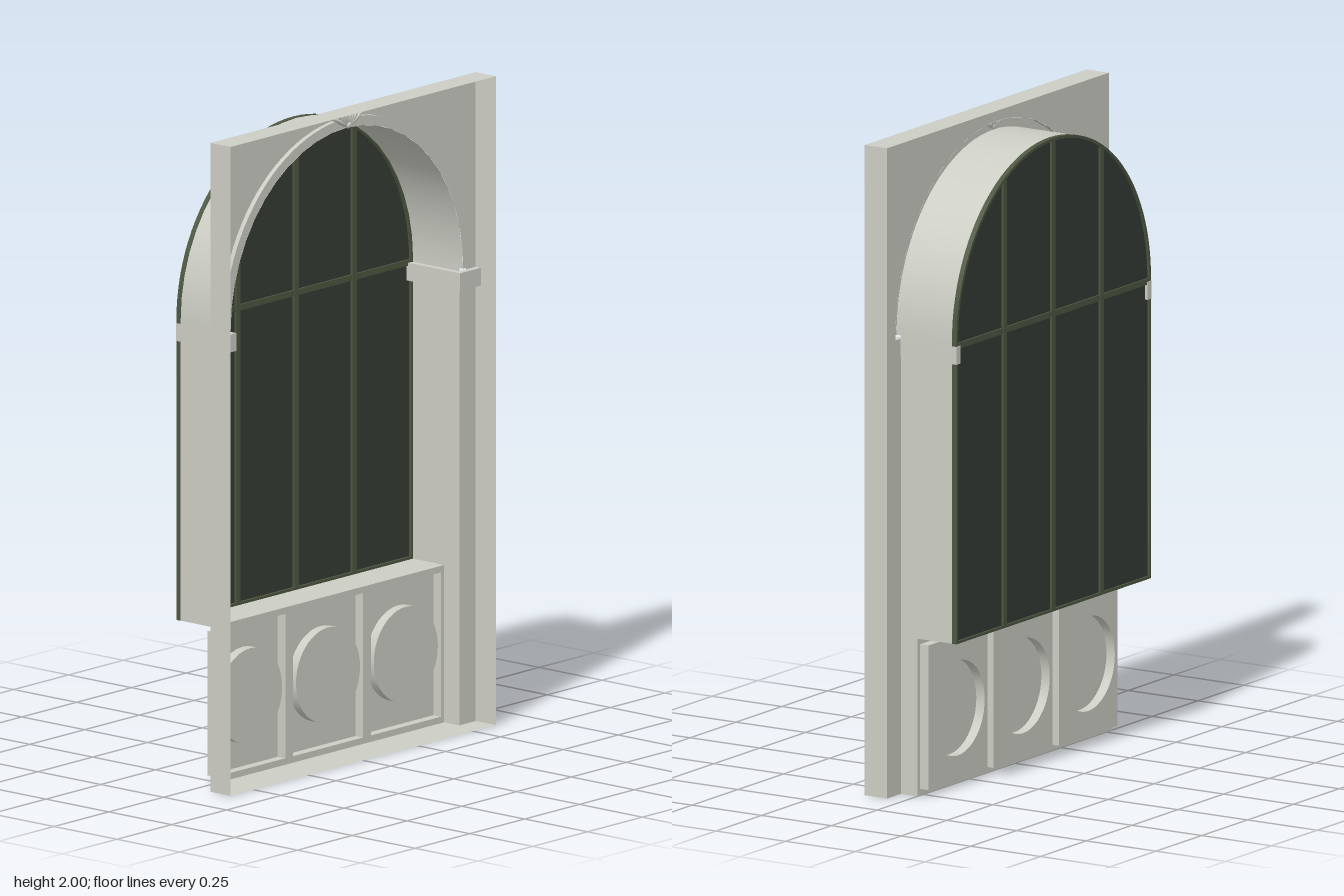
import * as THREE from 'three';

const W = 0.605, H = 2, R = 0.53, RO = 0.56, SPRING = 1.41, SILL = 0.485;
const Z_FRONT = 0.14, Z_WALL = 0.06, Z_TRIM = 0.075, Z_PANEL = 0, Z_RECESS = -0.03, Z_BACK = -0.14;
const SEG = 24;

export function createModel() {
  const model = new THREE.Group();
  const material = (name, color) => {
    const m = new THREE.MeshStandardMaterial({ color, side: THREE.DoubleSide });
    m.name = name;
    return m;
  };
  const stone = material('pale stone', 0xcbccc3);
  const glass = material('dark glass', 0x343b35);
  const metal = material('olive frame', 0x4c5640);

  const add = (name, geometry, mat, parent = model) => {
    const mesh = new THREE.Mesh(geometry, mat);
    mesh.name = name;
    parent.add(mesh);
    return mesh;
  };
  const group = (name) => {
    const g = new THREE.Group();
    g.name = name;
    model.add(g);
    return g;
  };
  const box = (name, x0, x1, y0, y1, z0, z1, mat, parent) =>
    add(name, new THREE.BoxGeometry(x1 - x0, y1 - y0, z1 - z0)
      .translate((x0 + x1) / 2, (y0 + y1) / 2, (z0 + z1) / 2), mat, parent);
  // Flat sheet facing x (upright) or y (level)
  const sideSheet = (name, x, y0, y1, z0, z1, parent) =>
    add(name, new THREE.PlaneGeometry(z1 - z0, y1 - y0).rotateY(x < 0 ? Math.PI / 2 : -Math.PI / 2)
      .translate(x, (y0 + y1) / 2, (z0 + z1) / 2), stone, parent);
  const levelSheet = (name, y, x0, x1, z0, z1, parent) =>
    add(name, new THREE.PlaneGeometry(x1 - x0, z1 - z0).rotateX(-Math.PI / 2)
      .translate((x0 + x1) / 2, y, (z0 + z1) / 2), stone, parent);
  const flat = (shape, z) => new THREE.ShapeGeometry(shape, SEG).translate(0, 0, z);
  // Half barrel following the arch
  const barrel = (r, z0, z1) =>
    new THREE.CylinderGeometry(r, r, z1 - z0, SEG, 1, true, Math.PI / 2, Math.PI)
      .rotateX(Math.PI / 2).translate(0, SPRING, (z0 + z1) / 2);
  const rect = (x0, x1, y0, y1, Type = THREE.Shape) => {
    const s = new Type();
    s.moveTo(x0, y0).lineTo(x1, y0).lineTo(x1, y1).lineTo(x0, y1).closePath();
    return s;
  };
  const archOutline = (r, y0, Type = THREE.Shape) => {
    const s = new Type();
    s.moveTo(r, y0).lineTo(r, SPRING);
    s.absarc(0, SPRING, r, 0, Math.PI, false);
    s.lineTo(-r, y0).closePath();
    return s;
  };

  // Wall sheet with the arched doorway cut out
  const wall = new THREE.Shape();
  wall.moveTo(-W, 0).lineTo(-R, 0).lineTo(-R, 1.4).lineTo(-RO, 1.4).lineTo(-RO, SPRING);
  wall.absarc(0, SPRING, RO, Math.PI, 0, true);
  wall.lineTo(RO, 1.4).lineTo(R, 1.4).lineTo(R, 0).lineTo(W, 0).lineTo(W, H).lineTo(-W, H).closePath();
  add('wall', flat(wall, Z_WALL), stone);

  // Shallow border around the wall, open to the front
  levelSheet('topBorder', H, -W, W, Z_WALL, Z_FRONT);
  levelSheet('floor', 0, -W, W, Z_WALL, Z_FRONT);
  levelSheet('innerFloor', 0, -R, R, Z_PANEL, Z_WALL);

  // Sides: border, jambs and impost mouldings
  for (const s of [-1, 1]) {
    sideSheet('sideBorder', s * W, 0, H, Z_WALL, Z_FRONT);
    sideSheet('lowerJamb', s * R, 0, SILL, Z_PANEL, Z_WALL);
    sideSheet('jamb', s * R, SILL, SPRING, Z_BACK, Z_WALL);
    const span = (a, b) => (s > 0 ? [a, b] : [-b, -a]);
    box('impostFront', ...span(0.51, W), 1.345, 1.4, Z_WALL, 0.08, stone);
    box('impostReturn', ...span(0.51, R + 0.001), 1.345, 1.4, Z_BACK - 0.001, Z_WALL, stone);
  }

  // Arch soffit and its raised band
  add('archSoffit', barrel(R, Z_BACK, Z_TRIM), stone);
  add('archBandEdge', barrel(RO, Z_WALL, Z_TRIM), stone);
  const band = new THREE.Shape();
  band.absarc(0, SPRING, RO, 0, Math.PI, false);
  band.absarc(0, SPRING, R, Math.PI, 0, true);
  add('archBand', flat(band, Z_TRIM), stone);

  // Sill and base with three sunk panels, each holding a raised disc
  levelSheet('sill', SILL, -R, R, Z_BACK, Z_PANEL);
  const base = rect(-R, R, 0, SILL);
  const panels = group('basePanels');
  const y0 = 0.02, y1 = 0.465, cy = 0.242, rd = 0.146;
  for (const cx of [-0.355, 0, 0.355]) {
    const x0 = cx - 0.16, x1 = cx + 0.16;
    base.holes.push(rect(x0, x1, y0, y1, THREE.Path));
    const sunk = rect(x0, x1, y0, y1);
    sunk.holes.push(new THREE.Path().absarc(cx, cy, rd, 0, Math.PI * 2, true));
    add('sunkPanel', flat(sunk, Z_RECESS), stone, panels);
    for (const x of [x0, x1]) sideSheet('panelSide', x, y0, y1, Z_RECESS, Z_PANEL, panels);
    for (const y of [y0, y1]) levelSheet('panelEdge', y, x0, x1, Z_RECESS, Z_PANEL, panels);
    add('discRim', new THREE.CylinderGeometry(rd, rd, 0.03, 48, 1, true)
      .rotateX(Math.PI / 2).translate(cx, cy, -0.015), stone, panels);
    add('disc', new THREE.CircleGeometry(rd, 48).translate(cx, cy, Z_PANEL), stone, panels);
  }
  add('baseFace', flat(base, Z_PANEL), stone);

  // Arched window: glass, outer frame and glazing bars
  const win = group('window');
  add('glass', flat(archOutline(R - 0.004, SILL), -0.133), glass, win);
  const frame = archOutline(R + 0.001, SILL);
  frame.holes.push(archOutline(R - 0.008, SILL + 0.008, THREE.Path));
  add('windowFrame', new THREE.ExtrudeGeometry(frame, { depth: 0.016, bevelEnabled: false, curveSegments: SEG })
    .translate(0, 0, Z_BACK), metal, win);
  for (const x of [-0.265, 0, 0.265]) {
    const top = SPRING + Math.sqrt(R * R - x * x) - 0.008;
    box('mullion', x - 0.01, x + 0.01, SILL, top, Z_BACK, -0.125, metal, win);
  }
  box('transom', -R, R, 1.391, 1.409, Z_BACK + 0.001, -0.126, metal, win);

  // Small leafy crest at the crown of the arch
  const crest = group('crest');
  for (let i = -4; i <= 4; i++) {
    const a = i * 0.27, len = 0.05 + 0.006 * Math.abs(i);
    add('leaf', new THREE.SphereGeometry(1, 8, 6).scale(0.0075, len / 2, 0.009)
      .translate(0, len / 2, 0).rotateZ(-a).translate(0, 1.945, 0.078), stone, crest);
  }
  for (const s of [-1, 1]) {
    add('scroll', new THREE.TorusGeometry(0.009, 0.004, 6, 12).translate(s * 0.062, 1.984, 0.078), stone, crest);
  }
  add('crestBud', new THREE.SphereGeometry(0.011, 10, 8).translate(0, 1.95, 0.08), stone, crest);

  return model;
}
